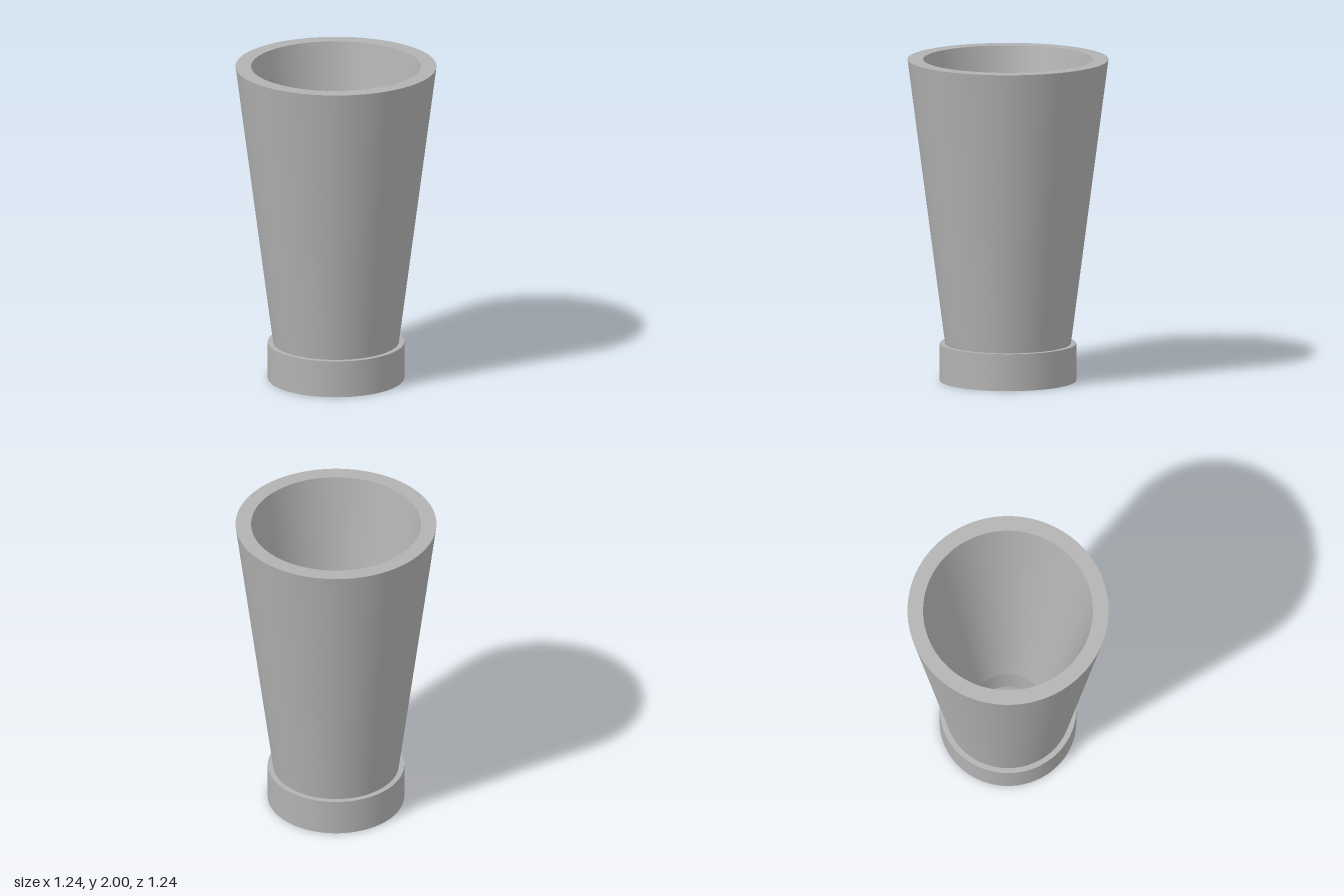
import * as THREE from 'three';
import { toCreasedNormals } from 'three/addons/utils/BufferGeometryUtils.js';

export function createModel() {
  const group = new THREE.Group();
  group.name = 'taperedNozzle';

  const grey = new THREE.MeshStandardMaterial({ color: 0xb2b2b2 });
  grey.name = 'plain grey';

  // Turned part from a profile of [radius, height], with sharp rims
  function turned(name, profile) {
    const points = profile.map(([r, y]) => new THREE.Vector2(r, y));
    const geometry = toCreasedNormals(new THREE.LatheGeometry(points, 96), 0.6);
    const mesh = new THREE.Mesh(geometry, grey);
    mesh.name = name;
    group.add(mesh);
  }

  const collarTop = 0.23, bore = 0.23, neck = 0.387;

  // Collar: straight bore, flat underside, outer wall and narrow ledge
  turned('baseCollar', [[bore, collarTop], [bore, 0], [0.42, 0], [0.42, collarTop], [neck, collarTop]]);

  // Funnel: flared outer wall, flat rim, inner cone narrowing to the bore
  turned('flaredBody', [[neck, collarTop], [0.618, 2], [0.522, 2], [bore, collarTop]]);

  return group;
}
